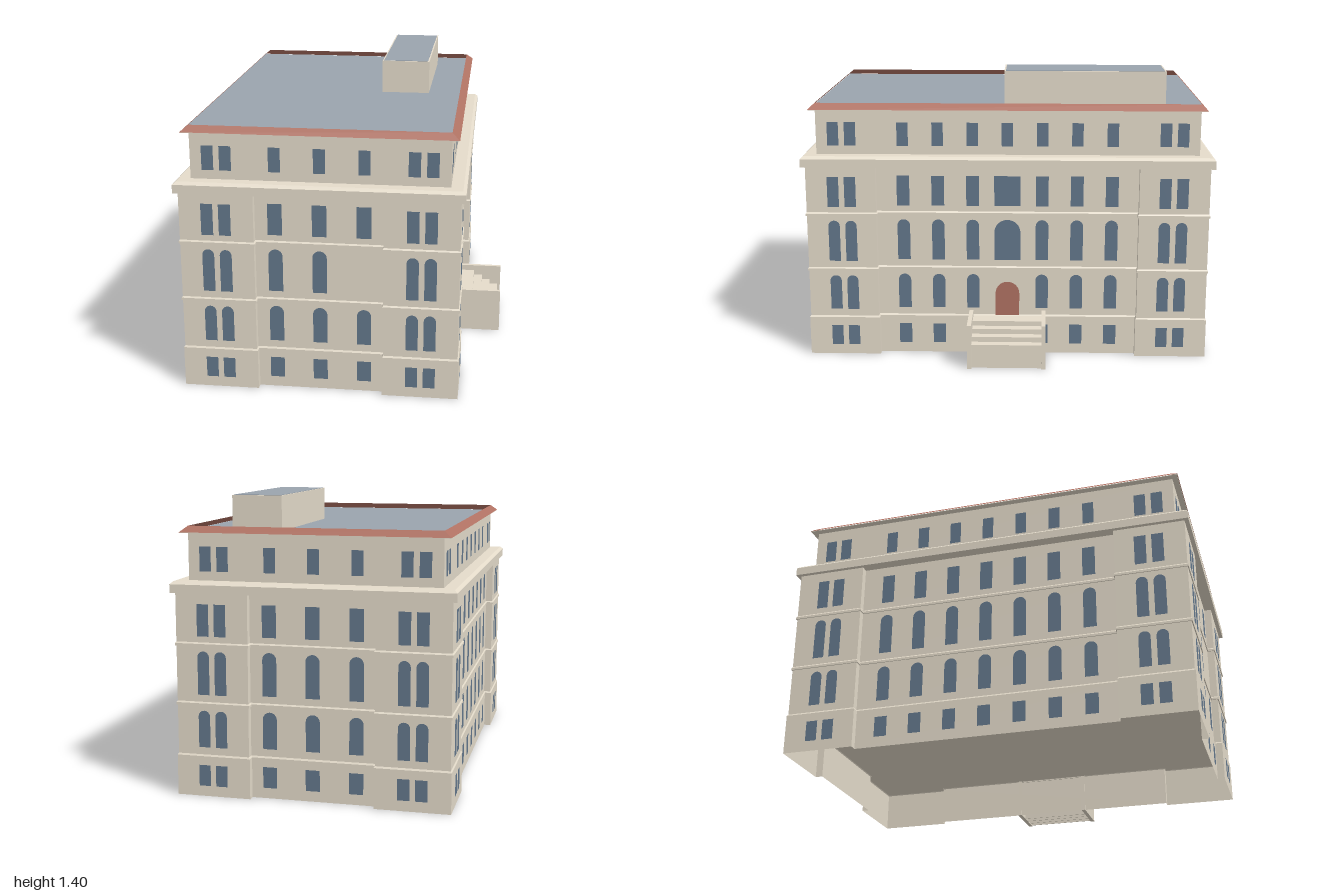
import * as THREE from 'three';

const mat = (name, color, side = THREE.FrontSide) => {
  const m = new THREE.MeshStandardMaterial({ color, side });
  m.name = name;
  return m;
};

export function createModel() {
  const stone = mat('stone', 0xe5dccb, THREE.DoubleSide);
  const glass = mat('window blue', 0x64788c);
  const slate = mat('slate', 0x9aa4ae);
  const red = mat('brick red', 0xb07263, THREE.DoubleSide);

  const model = new THREE.Group();
  model.name = 'building';
  const house = new THREE.Group();
  house.name = 'house';
  house.position.x = -0.085;
  model.add(house);

  const add = (parent, name, geo, material) => {
    const mesh = new THREE.Mesh(geo, material);
    mesh.name = name;
    parent.add(mesh);
    return mesh;
  };

  // Footprint with four projecting corner pavilions, grown outward by e
  const HX = 0.6425, HZ = 0.98, RECESS = 0.035, PX = 0.2975, PZ = 0.64;
  const footprint = (e) => {
    const x = HX + e, z = HZ + e;
    const q = [[x - RECESS, PZ - e], [x, PZ - e], [x, z], [PX - e, z], [PX - e, z - RECESS]];
    const pts = [];
    for (const [sx, sz] of [[1, 1], [-1, 1], [-1, -1], [1, -1]]) {
      const quarter = q.map(([a, b]) => new THREE.Vector2(a * sx, b * sz));
      pts.push(...(sx * sz > 0 ? quarter : quarter.reverse()));
    }
    return pts;
  };

  // Outer walls: rings of the footprint joined upward, with bevelled ledges
  const profile = [[0.005, 0], [0.005, 0.192], [0, 0.2]];
  for (const y of [0.452, 0.732])
    profile.push([0, y - 0.018], [0.005, y - 0.018], [0.005, y - 0.007], [0, y]);
  profile.push([0, 0.965]);
  const rings = profile.map(([e, y]) => footprint(e).map((p) => [p.x, y, p.y]));
  const verts = [];
  for (let r = 0; r < rings.length - 1; r++) {
    const lo = rings[r], hi = rings[r + 1];
    for (let i = 0; i < lo.length; i++) {
      const j = (i + 1) % lo.length;
      verts.push(...lo[i], ...hi[i], ...lo[j], ...lo[j], ...hi[i], ...hi[j]);
    }
  }
  const wallGeo = new THREE.BufferGeometry();
  wallGeo.setAttribute('position', new THREE.Float32BufferAttribute(verts, 3));
  wallGeo.computeVertexNormals();
  add(house, 'walls', wallGeo, stone);

  // Floor above the open basement
  const floorGeo = new THREE.ShapeGeometry(new THREE.Shape(footprint(0))).rotateX(Math.PI / 2);
  add(house, 'floor', floorGeo, stone).position.y = 0.195;

  // Box whose upper face may be smaller than its lower face
  const frustum = (name, x0, z0, x1, z1, y0, y1, material) => {
    const geo = new THREE.BoxGeometry(2, 1, 2).toNonIndexed();
    const p = geo.attributes.position;
    for (let i = 0; i < p.count; i++) {
      const up = p.getY(i) > 0;
      p.setXYZ(i, p.getX(i) * (up ? x1 : x0), up ? y1 : y0, p.getZ(i) * (up ? z1 : z0));
    }
    geo.computeVertexNormals();
    return add(house, name, geo, material);
  };
  frustum('cornice', 0.6625, 1, 0.6625, 1, 0.96, 1.0, stone);
  frustum('corniceTop', 0.6625, 1, 0.648, 0.985, 1.0, 1.013, stone);
  frustum('topStorey', 0.5925, 0.93, 0.5925, 0.93, 1.01, 1.232, stone);
  frustum('roofDeck', 0.625, 0.9575, 0.625, 0.9575, 1.232, 1.235,
    [stone, stone, slate, stone, stone, stone]);

  // Sloping red rim, open in the middle so the deck lies below its edge
  const rim = frustum('roofRim', 0.6275, 0.96, 0.5925, 0.93, 1.235, 1.264, [red, red, [], [], red, red]);
  rim.geometry.groups = rim.geometry.groups.filter((g) => g.materialIndex < 2 || g.materialIndex > 3);
  rim.material = [red, red, red, red, red, red];

  // Rooftop hut with a slate plate inside a stone border
  const hut = frustum('rooftopHut', 0.12, 0.3975, 0.12, 0.3975, 1.234, 1.398, stone);
  const plate = frustum('hutRoof', 0.113, 0.39, 0.113, 0.39, 1.396, 1.4, slate);
  for (const part of [hut, plate]) part.position.set(0.31, 0, -0.378);

  // Flat opening, optionally with a round head
  const opening = (w, y0, y1, arched) => {
    const r = w / 2, s = new THREE.Shape();
    s.moveTo(-r, y0);
    s.lineTo(r, y0);
    if (arched) s.absarc(0, y1 - r, r, 0, Math.PI, false);
    else s.lineTo(r, y1).lineTo(-r, y1);
    s.closePath();
    return new THREE.ShapeGeometry(s, 8);
  };

  // Rows: bottom, top, arched, surface offset from main wall
  const rows = [
    [0.05, 0.15, false, 0.005],
    [0.235, 0.41, true, 0],
    [0.485, 0.69, true, 0],
    [0.76, 0.91, false, 0],
  ];
  const facade = (name, angle, dist, topDist, pairs, singles, w, widthAt) => {
    const face = new THREE.Group();
    face.name = name;
    face.rotation.y = angle;
    house.add(face);
    const put = (u, z, width, y0, y1, arched) =>
      add(face, 'window', opening(width, y0, y1, arched), glass).position.set(u, 0, z + 0.002);
    rows.forEach(([y0, y1, arched, off], r) => {
      for (const s of [-1, 1]) for (const u of pairs) put(s * u, dist + off, 0.056, y0, y1, arched);
      for (const u of singles) {
        const width = widthAt(r, u, w);
        if (width) put(u, dist + off - RECESS, width, y0, y1, arched);
      }
    });
    // Attic windows
    for (const u of [...pairs, ...pairs.map((v) => -v), ...singles])
      put(u, topDist, 0.055, 1.055, 1.17, false);
    return face;
  };
  const shortSide = [-0.205, 0, 0.205];
  const longSide = [-0.51, -0.34, -0.17, 0, 0.17, 0.34, 0.51];
  const plain = (r, u, w) => w;
  facade('frontWindows', 0, HZ, 0.93, [0.43, 0.512], shortSide, 0.067,
    (r, u, w) => (r === 2 && u > 0.1 ? 0 : w));
  facade('backWindows', Math.PI, HZ, 0.93, [0.43, 0.512], shortSide, 0.067, plain);
  facade('leftWindows', -Math.PI / 2, HX, 0.5925, [0.765, 0.848], longSide, 0.062, plain);
  const entry = facade('entranceSideWindows', Math.PI / 2, HX, 0.5925, [0.765, 0.848], longSide, 0.062,
    (r, u, w) => (u !== 0 ? w : r < 2 ? 0 : 0.128));
  add(entry, 'door', opening(0.118, 0.198, 0.372, true), red).position.z = HX - RECESS + 0.004;

  // Entrance stair: side walls, thin treads and full-height risers, open below
  const stair = new THREE.Group();
  stair.name = 'entranceStair';
  model.add(stair);
  const block = (name, x0, x1, y0, y1, depth, z = 0) => {
    const geo = new THREE.BoxGeometry(x1 - x0, y1 - y0, depth);
    add(stair, name, geo, stone).position.set((x0 + x1) / 2, (y0 + y1) / 2, z);
  };
  for (const s of [-1, 1]) block('stairWall', 0.523, 0.748, 0, 0.222, 0.02, s * 0.18);
  const edges = [0.523, 0.603, 0.648, 0.691, 0.733];
  for (let i = 1; i < edges.length; i++) {
    const top = 0.193 - (i - 1) * 0.025;
    block('tread', edges[i - 1], edges[i], top - 0.005, top, 0.342);
    block('riser', edges[i] - 0.004, edges[i], 0, top - 0.005, 0.342);
  }

  return model;
}
